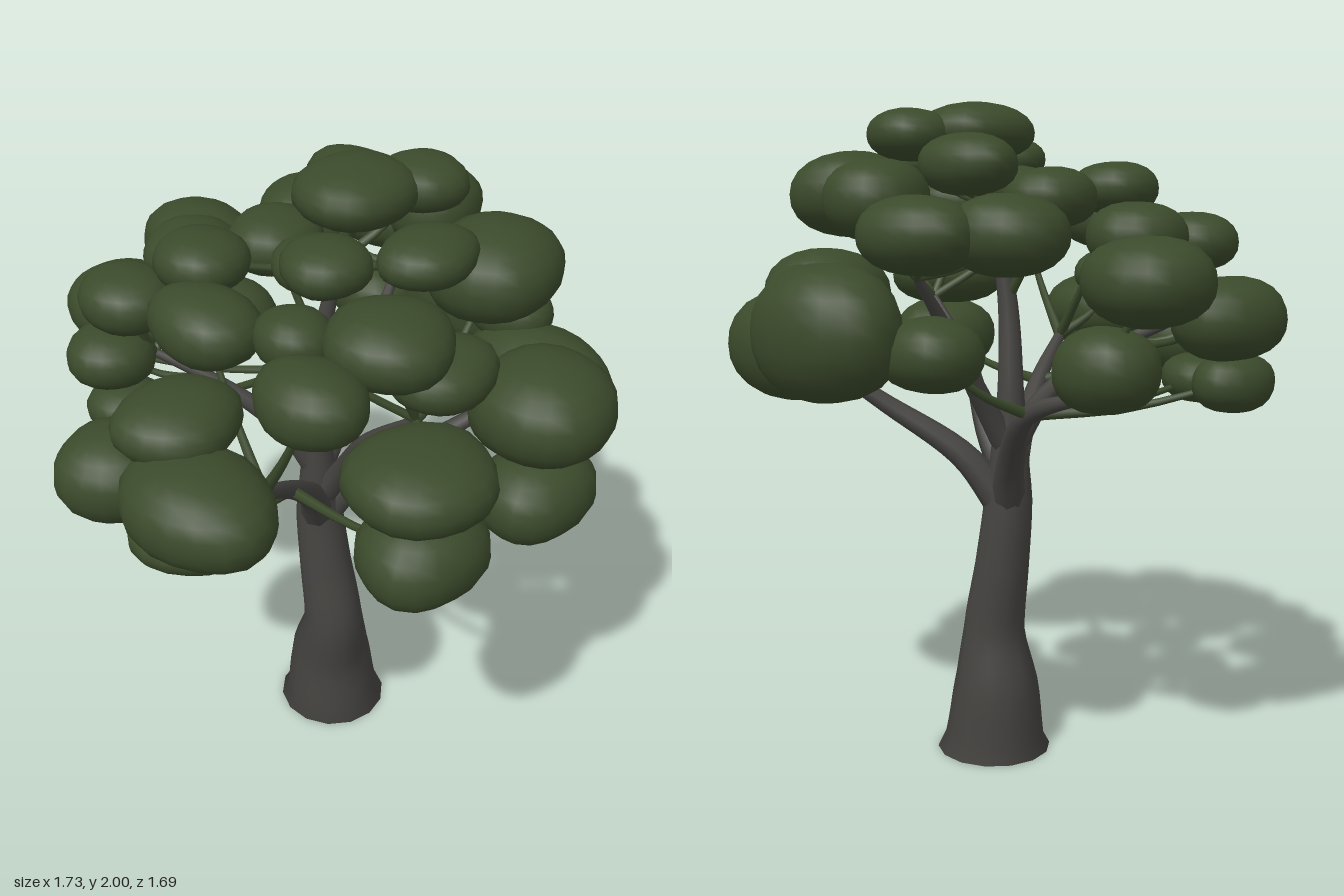
import * as THREE from 'three';

const leaf = new THREE.MeshStandardMaterial({ color: 0x3b4a2b });
leaf.name = 'leaf green';
const bark = new THREE.MeshStandardMaterial({ color: 0x464542, side: THREE.DoubleSide });
bark.name = 'bark grey';

// Tapered tube through points [x, y, z, radius]
function limb(name, pts, steps, sides, material = bark) {
  const curve = new THREE.CatmullRomCurve3(pts.map(p => new THREE.Vector3(p[0], p[1], p[2])));
  const geo = new THREE.TubeGeometry(curve, steps, 1, sides);
  const pos = geo.attributes.position, nor = geo.attributes.normal;
  for (let i = 0; i <= steps; i++) {
    const t = curve.getUtoTmapping(i / steps) * (pts.length - 1);
    const k = Math.min(Math.floor(t), pts.length - 2);
    const r = THREE.MathUtils.lerp(pts[k][3], pts[k + 1][3], t - k);
    const c = curve.getPointAt(i / steps);
    for (let j = 0; j <= sides; j++) {
      const v = i * (sides + 1) + j;
      const y = c.y + nor.getY(v) * r;
      pos.setXYZ(v, c.x + nor.getX(v) * r, i === 0 && c.y < 0.01 ? 0 : y, c.z + nor.getZ(v) * r);
    }
  }
  geo.computeBoundingSphere();
  const mesh = new THREE.Mesh(geo, material);
  mesh.name = name;
  return mesh;
}

// Rounded, slightly boxy and lumpy leaf clump
function clump([x, y, z, rx, ry, rz], i) {
  const geo = new THREE.SphereGeometry(1, 18, 12);
  const pos = geo.attributes.position, v = new THREE.Vector3();
  const p = 2.25, c = Math.cos(i * 1.7), s = Math.sin(i * 1.7);
  for (let k = 0; k < pos.count; k++) {
    v.fromBufferAttribute(pos, k);
    const u = c * v.x + s * v.z, w = c * v.z - s * v.x;
    const n = Math.pow(Math.abs(u) ** p + Math.abs(v.y) ** p + Math.abs(w) ** p, -1 / p);
    const lump = n * (1 + 0.03 * Math.sin(3 * u + i) * Math.cos(2.5 * w + v.y));
    pos.setXYZ(k, v.x * lump * rx, v.y * lump * ry, v.z * lump * rz);
  }
  geo.computeVertexNormals();
  // keep the sphere seam smooth
  const nor = geo.attributes.normal;
  for (let r = 0; r <= 12; r++) {
    const a = r * 19, b = a + 18;
    v.set(nor.getX(a) + nor.getX(b), nor.getY(a) + nor.getY(b), nor.getZ(a) + nor.getZ(b)).normalize();
    nor.setXYZ(a, v.x, v.y, v.z);
    nor.setXYZ(b, v.x, v.y, v.z);
  }
  const mesh = new THREE.Mesh(geo, leaf);
  mesh.name = 'leafClump' + (i + 1);
  mesh.position.set(x, y, z);
  return mesh;
}

// Trunk (open at the foot) and main limbs: x, y, z, radius
const trunk = [
  [0.06, 0, 0, 0.178], [0.057, 0.03, 0, 0.158], [0.055, 0.2, -0.005, 0.135], [0.045, 0.37, 0.015, 0.097],
  [0.04, 0.6, -0.018, 0.084], [0.035, 0.8, -0.04, 0.075], [0.03, 0.95, -0.04, 0.058],
  [0.025, 1.15, -0.04, 0.04], [0.02, 1.42, -0.02, 0.03], [0.05, 1.7, 0.02, 0.016],
];
const limbs = [
  [[0.025, 0.78, -0.035, 0.055], [-0.07, 0.94, 0.03, 0.042], [-0.27, 1.13, 0.14, 0.028], [-0.45, 1.26, 0.22, 0.018]],
  [[0.045, 0.78, -0.035, 0.055], [0.13, 0.94, 0.06, 0.042], [0.29, 1.1, 0.24, 0.028], [0.42, 1.22, 0.36, 0.018]],
  [[0.04, 0.78, -0.045, 0.055], [0.11, 0.94, -0.13, 0.042], [0.22, 1.12, -0.32, 0.028], [0.2, 1.19, -0.52, 0.016]],
  [[0.03, 0.86, -0.03, 0.045], [0.03, 1.0, 0.06, 0.036], [-0.02, 1.2, 0.2, 0.024], [-0.06, 1.4, 0.42, 0.014]],
  [[0.03, 0.95, -0.04, 0.042], [-0.05, 1.12, -0.11, 0.032], [-0.18, 1.28, -0.28, 0.022], [-0.28, 1.36, -0.42, 0.013]],
  [[0.03, 0.95, -0.04, 0.042], [0.12, 1.1, -0.03, 0.034], [0.28, 1.33, -0.05, 0.024], [0.42, 1.5, -0.08, 0.013]],
];

// Crown: x, y, z, radius x, radius y, radius z
const lowClumps = [
  [0.21, 1.415, 0.64, 0.2, 0.145, 0.2], [0.16, 1.18, 0.68, 0.19, 0.125, 0.15],
  [-0.32, 1.24, 0.67, 0.19, 0.13, 0.16], [-0.32, 1.455, 0.65, 0.2, 0.1, 0.19],
  [0.5, 1.28, 0.42, 0.165, 0.165, 0.24], [0.69, 1.36, -0.02, 0.17, 0.19, 0.25],
  [-0.68, 1.34, 0.22, 0.18, 0.13, 0.23], [-0.65, 1.22, 0.16, 0.17, 0.075, 0.18],
  [-0.67, 1.27, -0.14, 0.165, 0.125, 0.16], [-0.58, 1.47, 0.04, 0.18, 0.09, 0.16],
  [0.15, 1.26, -0.55, 0.14, 0.12, 0.15], [-0.21, 1.21, -0.7, 0.13, 0.085, 0.1],
  [-0.36, 1.19, -0.47, 0.12, 0.075, 0.12], [0.54, 1.31, -0.28, 0.13, 0.1, 0.15],
];
const midClumps = [
  [-0.18, 1.39, -0.7, 0.175, 0.115, 0.145], [0.13, 1.5, -0.67, 0.17, 0.12, 0.18],
  [-0.39, 1.37, -0.49, 0.13, 0.09, 0.13],
];
const highClumps = [
  [-0.38, 1.59, -0.4, 0.13, 0.09, 0.14], [-0.09, 1.61, -0.44, 0.15, 0.1, 0.14],
  [0.35, 1.62, -0.38, 0.165, 0.11, 0.165], [0.53, 1.62, -0.22, 0.15, 0.105, 0.185],
  [0.3, 1.81, -0.16, 0.12, 0.085, 0.16], [0.5, 1.71, -0.01, 0.15, 0.115, 0.135],
  [-0.28, 1.75, -0.18, 0.13, 0.08, 0.13], [-0.01, 1.72, -0.17, 0.14, 0.09, 0.13],
  [-0.41, 1.66, -0.03, 0.13, 0.1, 0.17], [0.07, 1.912, 0.06, 0.18, 0.085, 0.16],
  [0.27, 1.9, 0.13, 0.12, 0.075, 0.13], [-0.2, 1.84, 0.21, 0.12, 0.07, 0.12],
  [-0.31, 1.67, 0.2, 0.1, 0.08, 0.11], [-0.08, 1.75, 0.06, 0.12, 0.07, 0.12],
  [-0.46, 1.64, 0.41, 0.13, 0.1, 0.155], [-0.21, 1.71, 0.44, 0.17, 0.1, 0.17],
  [0.04, 1.83, 0.35, 0.15, 0.07, 0.12], [0.27, 1.73, 0.4, 0.2, 0.13, 0.18],
  [-0.03, 1.56, 0.48, 0.16, 0.085, 0.13], [0.55, 1.44, 0.27, 0.11, 0.09, 0.13],
];

export function createModel() {
  const tree = new THREE.Group();
  tree.name = 'tree';

  const wood = new THREE.Group();
  wood.name = 'trunkAndBranches';
  wood.add(limb('trunk', trunk, 40, 14));
  limbs.forEach((l, i) => wood.add(limb('limb' + (i + 1), l, 16, 8)));

  const crown = new THREE.Group();
  crown.name = 'crown';
  const joints = [...limbs.flatMap(l => l.slice(2)), ...trunk.slice(7)];
  [...lowClumps, ...midClumps, ...highClumps].forEach((c, i) => {
    crown.add(clump(c, i));
    // Green twig from the nearest joint below the clump
    const dist = j => Math.hypot(c[0] - j[0], c[1] - j[1], c[2] - j[2]) + (j[1] > c[1] - 0.05 ? 1 : 0);
    const j = joints.reduce((a, b) => (dist(b) < dist(a) ? b : a));
    const mid = [0, 1, 2].map(k => (j[k] + c[k]) / 2);
    mid[1] -= 0.025;
    const path = [[j[0], j[1], j[2], Math.min(j[3], 0.018)], [...mid, 0.012], [c[0], c[1], c[2], 0.008]];
    crown.add(limb('twig' + (i + 1), path, 8, 6, leaf));
  });

  tree.add(wood, crown);
  return tree;
}
